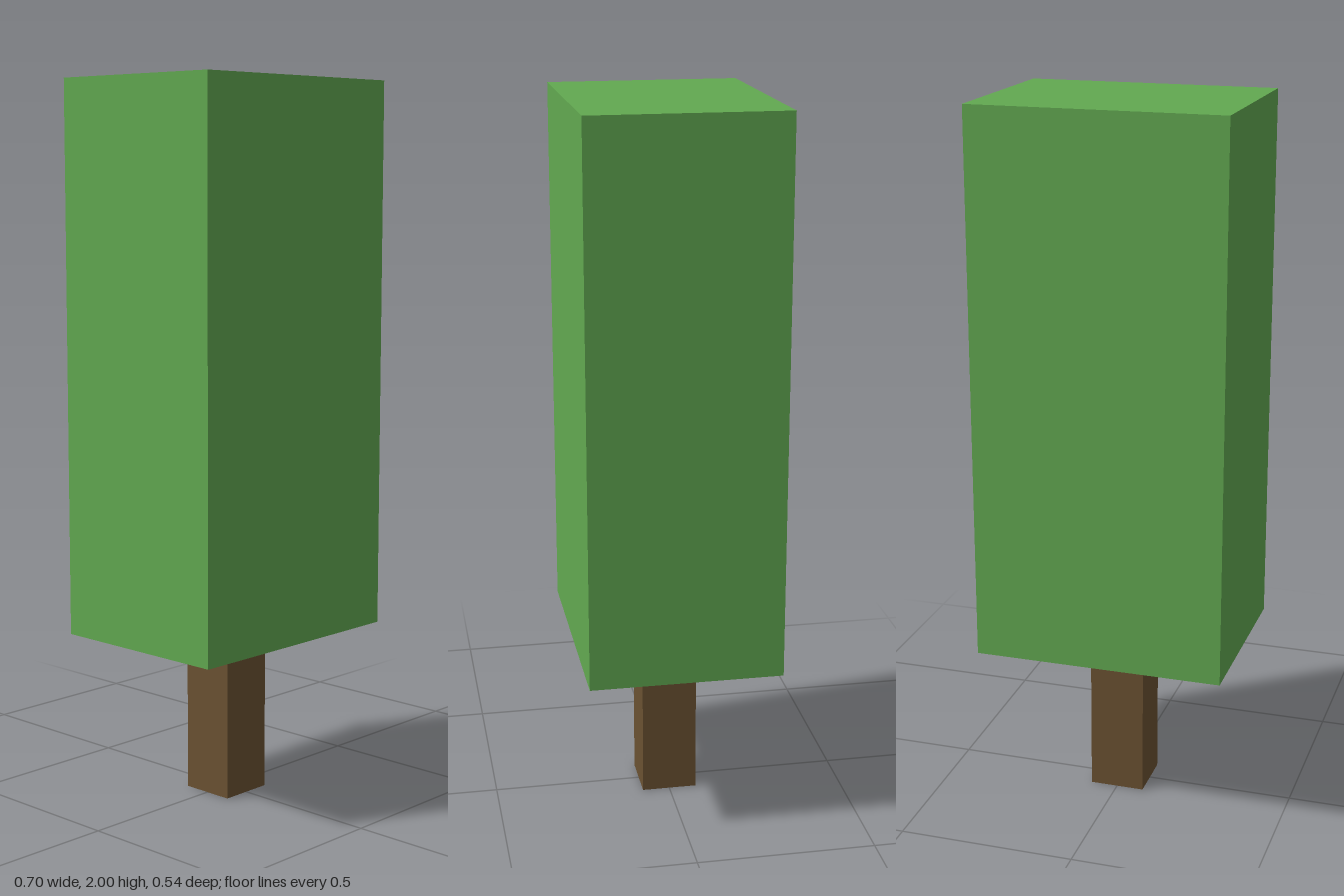
import * as THREE from 'three';

// Box standing on a given height, centred on the vertical axis
function block(name, width, depth, bottom, top, color) {
  const mesh = new THREE.Mesh(
    new THREE.BoxGeometry(width, top - bottom, depth),
    new THREE.MeshStandardMaterial({ color, flatShading: true })
  );
  mesh.position.y = (bottom + top) / 2;
  mesh.name = name;
  return mesh;
}

export function createModel() {
  const tree = new THREE.Group();
  tree.name = 'tree';
  tree.add(
    block('trunk', 0.156, 0.156, 0, 0.467, 0x6b5232),
    block('foliage', 0.702, 0.536, 0.467, 2, 0x62a951)
  );
  return tree;
}
